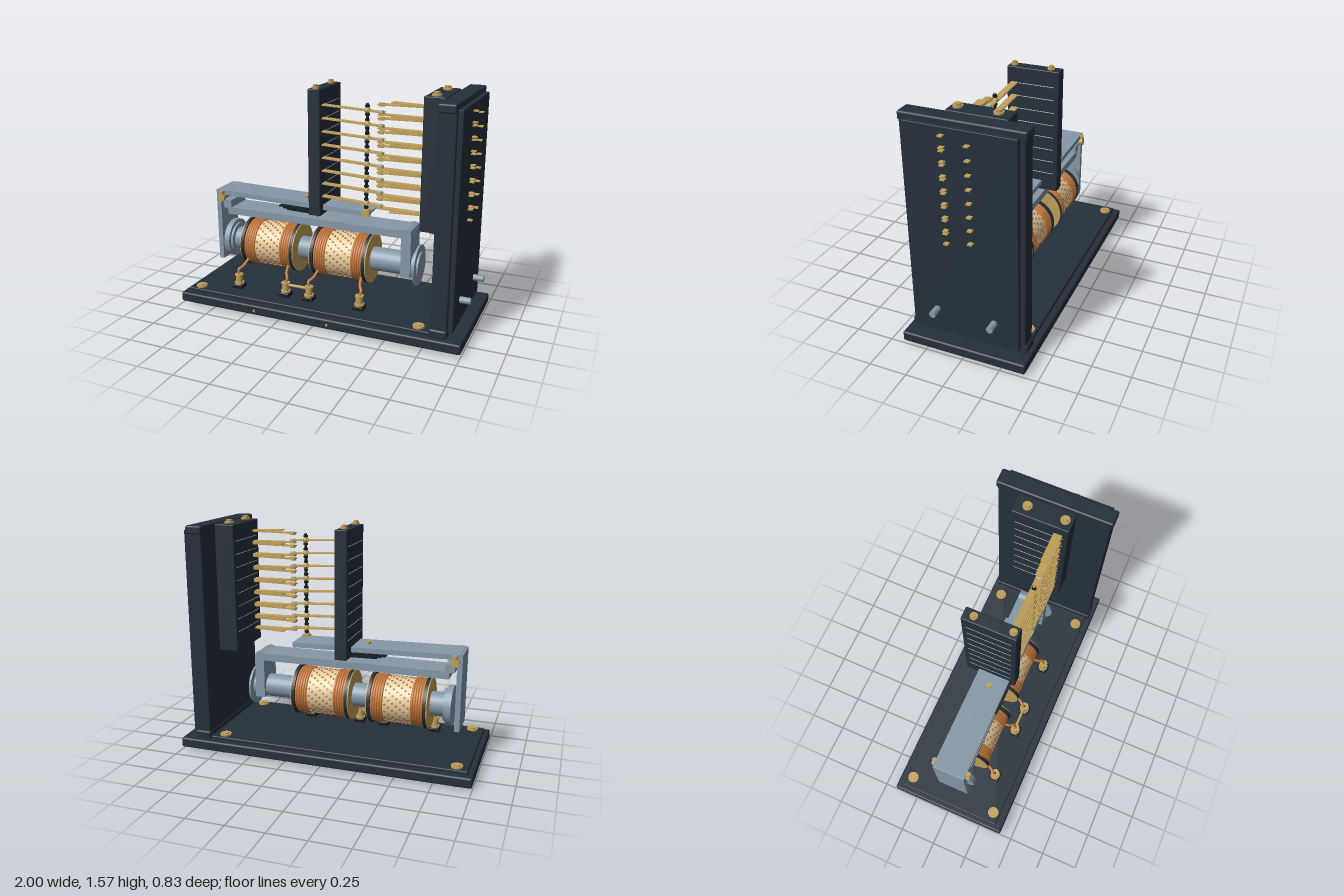
import * as THREE from 'three';
import { RoundedBoxGeometry } from 'three/addons/geometries/RoundedBoxGeometry.js';
import { mergeGeometries } from 'three/addons/utils/BufferGeometryUtils.js';

const paint = (name, color) => Object.assign(new THREE.MeshStandardMaterial({ color }), { name });

export function createModel() {
  const slate = paint('dark slate', 0x25303a);
  const black = paint('black insulation', 0x161c20);
  const steel = paint('blue grey steel', 0x8598a8);
  const brass = paint('brass', 0xc0a05a);
  const copper = paint('copper', 0xc8783a);
  const cream = paint('cream paper', 0xe2cda2);
  const silver = paint('silver', 0xbcc0c0);

  const model = new THREE.Group();
  model.name = 'relay';
  let parent = model;
  const group = (name) => {
    parent = new THREE.Group();
    parent.name = name;
    model.add(parent);
    return parent;
  };
  const add = (name, geo, mat, x = 0, y = 0, z = 0) => {
    const m = new THREE.Mesh(geo, mat);
    m.name = name;
    m.position.set(x, y, z);
    parent.add(m);
    return m;
  };
  // Box given by its limits on each axis, optionally with rounded edges
  const box = (name, mat, x0, x1, y0, y1, z0, z1, r = 0) => {
    const s = [x1 - x0, y1 - y0, z1 - z0];
    const geo = r ? new RoundedBoxGeometry(...s, 2, r) : new THREE.BoxGeometry(...s);
    return add(name, geo, mat, (x0 + x1) / 2, (y0 + y1) / 2, (z0 + z1) / 2);
  };
  // Cylinder centred at x, y, z along the chosen axis
  const rod = (name, mat, axis, r, len, x, y, z, sides = 24) => {
    const geo = new THREE.CylinderGeometry(r, r, len, sides);
    if (axis === 'x') geo.rotateZ(-Math.PI / 2);
    if (axis === 'z') geo.rotateX(Math.PI / 2);
    return add(name, geo, mat, x, y, z);
  };
  // Flat strip in the xy plane from one point to another
  const strip = (name, mat, xa, ya, xb, yb, thick, z, width) => {
    const geo = new THREE.BoxGeometry(Math.hypot(xb - xa, yb - ya), thick, width);
    geo.rotateZ(Math.atan2(yb - ya, xb - xa));
    return add(name, geo, mat, (xa + xb) / 2, (ya + yb) / 2, z);
  };
  const screw = (x, y, z, r) => {
    rod('screwWasher', brass, 'y', r, 0.012, x, y + 0.006, z);
    rod('screwHead', brass, 'y', r * 0.7, 0.014, x, y + 0.018, z, 6);
  };

  // Base with feet and screws
  group('base');
  box('basePlate', slate, -1, 1, 0.018, 0.086, -0.414, 0.414, 0.012);
  box('baseTop', slate, -0.965, 0.88, 0.08, 0.11, -0.37, 0.365, 0.006);
  for (const x of [-0.89, 0.705]) for (const z of [-0.32, 0.315]) {
    rod('foot', slate, 'y', 0.053, 0.022, x, 0.011, z);
    rod('baseScrew', brass, 'y', 0.038, 0.013, x, 0.116, z);
    rod('baseScrewHead', brass, 'y', 0.026, 0.01, x, 0.124, z, 6);
  }
  for (const x of [-0.42, 0.115]) rod('basePin', brass, 'z', 0.009, 0.012, x, 0.05, 0.414, 12);

  // Upright panel with end caps, cover plate and steel pegs
  group('uprightPanel');
  box('panel', slate, 0.795, 0.9, 0.09, 1.535, -0.378, 0.378, 0.006);
  box('panelTopCap', slate, 0.788, 0.9, 1.49, 1.546, -0.39, 0.39, 0.012);
  box('panelBottomCap', slate, 0.788, 0.9, 0.09, 0.146, -0.39, 0.39, 0.012);
  box('coverPlate', slate, 0.89, 0.93, 0.12, 1.51, -0.348, 0.348, 0.004);
  for (const z of [-0.19, 0.19]) rod('peg', steel, 'x', 0.022, 0.08, 0.96, 0.285, z, 12);

  // Insulating stacks that hold the contact springs
  const levels = Array.from({ length: 8 }, (_, i) => 1.43 - i * 0.0873);
  const stack = (name, x0, x1, y0, y1, z0, z1, r) => {
    group(name);
    box('stackBody', slate, x0, x1, y0, y1, z0, z1, 0.006);
    const x = (x0 + x1) / 2;
    for (const y of levels) box('stackSeam', silver, x0 - 0.002, x1 + 0.002, y - 0.002, y + 0.002, z0 + 0.03, z1 - 0.03);
    for (const z of [-0.142, 0.108]) {
      screw(x, y1, z, r);
      rod('screwEnd', brass, 'y', r * 0.5, 0.022, x, y0 - 0.01, z, 12);
    }
  };
  stack('springStack', -0.13, -0.046, 0.69, 1.535, -0.21, 0.145, 0.024);
  stack('contactStack', 0.64, 0.775, 0.685, 1.54, -0.225, 0.158, 0.031);

  // Contact springs: one moving blade between two fixed blades per level
  group('contactSprings');
  const zs = 0.092;
  for (const y of levels) {
    strip('movingSpring', brass, -0.06, y + 0.002, 0.37, y - 0.019, 0.008, zs, 0.045);
    rod('movingContact', silver, 'y', 0.017, 0.022, 0.352, y - 0.018, zs, 12);
    box('movingLug', brass, 0.77, 0.96, y - 0.004, y + 0.004, -0.075, -0.045);
    for (const s of [1, -1]) {
      const f = y + s * 0.035;
      strip('fixedSpring', brass, 0.335, f - s * 0.004, 0.65, f, 0.008, zs, 0.05);
      strip('stiffener', brass, 0.425, f + s * 0.014, 0.65, f + s * 0.005, 0.006, zs, 0.058);
      rod('fixedContact', brass, 'y', 0.019, 0.02, 0.354, f - s * 0.006, zs, 12);
      box('fixedLug', brass, 0.77, 0.96, f - 0.004, f + 0.004, 0.08, 0.11);
    }
  }

  // Push rod that lifts the moving springs
  group('pushRod');
  rod('rod', black, 'y', 0.01, 0.72, 0.26, 1.1, zs, 12);
  rod('rodFoot', brass, 'z', 0.028, 0.05, 0.262, 0.742, zs);
  rod('rodTip', brass, 'y', 0.008, 0.03, 0.26, 1.45, zs, 12);
  for (const y of levels) {
    add('bead', new THREE.SphereGeometry(0.021, 14, 10), brass, 0.26, y - 0.012, zs);
    for (const s of [1, -1]) rod('collar', black, 'y', 0.015, 0.012, 0.26, y - 0.012 + s * 0.027, zs, 12);
  }

  // Armature: sloping top arm, narrower channel and hanging leg
  group('armature');
  const slope = (x) => 0.757 - 0.022 * (x + 0.84);
  const arm = (name, x0, x1, t, z, w, dy = 0) =>
    strip(name, steel, x0, slope(x0) + dy, x1, slope(x1) + dy, t, z, w);
  arm('armPlate', -0.85, -0.1, 0.034, -0.005, 0.22);
  arm('armChannelTop', -0.1, 0.29, 0.012, 0, 0.2, 0.011);
  for (const z of [-0.094, 0.094]) arm('armChannelSide', -0.1, 0.29, 0.034, z, 0.012);
  strip('armatureLeg', steel, -0.848, 0.772, -0.845, 0.255, 0.034, -0.005, 0.22);
  for (const z of [-0.122, 0.115]) {
    rod('hingePin', brass, 'z', 0.027, 0.03, -0.817, 0.722, z);
    rod('hingeNub', brass, 'y', 0.018, 0.03, -0.817, 0.755, z, 12);
  }
  rod('armScrew', brass, 'y', 0.018, 0.02, -0.215, 0.766, -0.005);
  for (let i = 0; i < 3; i++)
    strip('leafPack', black, -0.365 + i * 0.03, 0.716 - i * 0.009, -0.05, 0.704 - i * 0.006, 0.007, 0, 0.235);

  // Yoke with raised left lip and downward right leg
  group('yoke');
  const s = new THREE.Shape();
  s.moveTo(-0.78, 0.6);
  [[-0.78, 0.64], [-0.815, 0.645], [-0.815, 0.7], [-0.755, 0.7], [-0.75, 0.65], [0.505, 0.65],
    [0.535, 0.66], [0.565, 0.65], [0.572, 0.63], [0.572, 0.33], [0.505, 0.33], [0.505, 0.6]]
    .forEach((p) => s.lineTo(...p));
  add('yokeBar', new THREE.ExtrudeGeometry(s, { depth: 0.2, bevelEnabled: false }), steel, 0, 0, -0.1);

  // Core with pole discs
  group('core');
  const cy = 0.392;
  rod('coreRod', steel, 'x', 0.08, 1.37, -0.1, cy, 0, 32);
  rod('leftPole', steel, 'x', 0.135, 0.04, -0.783, cy, 0, 40);
  rod('leftPoleHub', steel, 'x', 0.11, 0.02, -0.757, cy, 0, 40);
  rod('rightHub', steel, 'x', 0.09, 0.03, 0.583, cy, 0, 32);
  rod('rightPole', steel, 'x', 0.138, 0.014, 0.602, cy, 0, 40);
  rod('rightNut', steel, 'x', 0.09, 0.014, 0.614, cy, 0, 32);

  // Two wound coils
  const coil = (cx) => {
    group('coil');
    rod('paperWrap', cream, 'x', 0.154, 0.36, cx, cy, 0, 48);
    for (const d of [-1, 1]) {
      rod('flange', slate, 'x', 0.172, 0.022, cx + d * 0.187, cy, 0, 48);
      rod('flangeFace', brass, 'x', 0.17, 0.008, cx + d * 0.201, cy, 0, 48);
      for (let i = 0; i < 5; i++) {
        const ring = new THREE.TorusGeometry(0.154, 0.0095, 8, 48).rotateY(Math.PI / 2);
        add('winding', ring, copper, cx + d * (0.168 - i * 0.0165), cy, 0);
      }
    }
    // Copper dots in slanting rows
    const dots = [];
    for (let row = 0; row < 7; row++) for (let k = 0; k < 20; k++) {
      const dot = new THREE.CylinderGeometry(0.0075, 0.0075, 0.008, 8);
      dot.translate(-0.078 + row * 0.026, 0.155, 0);
      dot.rotateX(((k + row * 0.36) / 20) * Math.PI * 2);
      dots.push(dot);
    }
    add('wrapDots', mergeGeometries(dots), copper, cx, cy, 0);
  };
  coil(-0.45);
  coil(0.08);

  // Terminals with lead wires and a link bar
  group('terminals');
  const zt = 0.22;
  for (const [x, d] of [[-0.64, 1], [-0.275, -1], [-0.098, 1], [0.268, -1]]) {
    box('terminalBase', black, x - 0.038, x + 0.038, 0.108, 0.136, zt - 0.038, zt + 0.038, 0.006);
    rod('terminalNut', brass, 'y', 0.034, 0.014, x, 0.142, zt, 12);
    rod('terminalPost', brass, 'y', 0.024, 0.065, x, 0.175, zt, 16);
    rod('terminalCap', brass, 'y', 0.03, 0.01, x, 0.202, zt, 12);
    const path = new THREE.CatmullRomCurve3([[x, 0.2, zt], [x - d * 0.008, 0.235, zt - 0.01],
      [x + d * 0.012, 0.255, zt - 0.04], [x + d * 0.025, 0.29, zt - 0.095]]
      .map((p) => new THREE.Vector3(...p)));
    add('leadWire', new THREE.TubeGeometry(path, 16, 0.01, 8), copper);
  }
  rod('linkBar', brass, 'x', 0.01, 0.18, -0.187, 0.19, zt, 12);

  return model;
}
